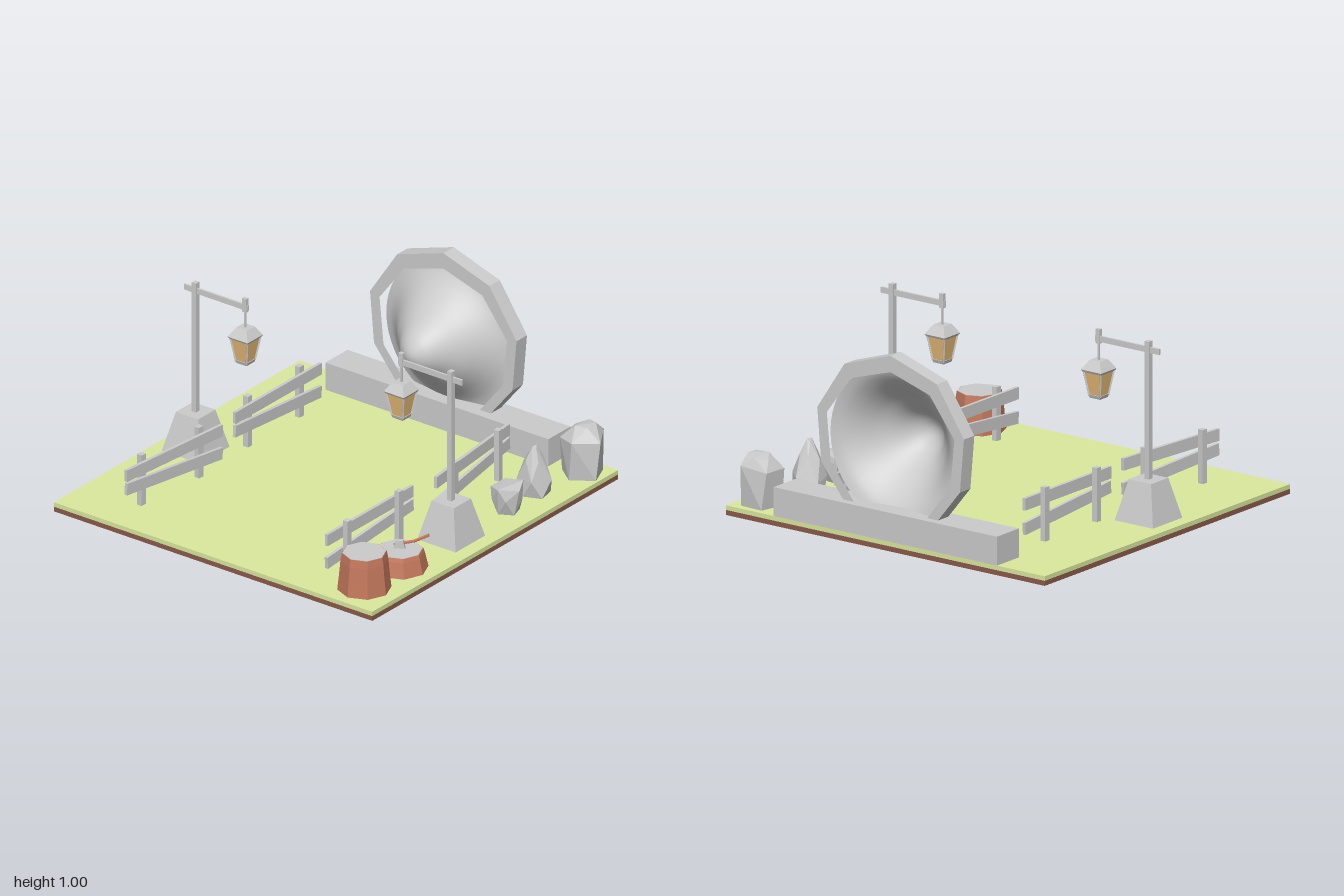
import * as THREE from 'three';
import { ConvexGeometry } from 'three/addons/geometries/ConvexGeometry.js';

const mat = (color, extra = {}) => new THREE.MeshStandardMaterial({ color, flatShading: true, ...extra });
const grey = mat(0xcccccc);
const grass = mat(0xdbe99e);
const soil = mat(0x8a5a4a);
const bark = mat(0xc4785c);
const glass = mat(0xe8bc78);
const smoothGrey = new THREE.MeshStandardMaterial({ color: 0xcccccc, side: THREE.DoubleSide });

function add(parent, name, geometry, material, x = 0, y = 0, z = 0) {
  const mesh = new THREE.Mesh(geometry, material);
  mesh.name = name;
  mesh.position.set(x, y, z);
  parent.add(mesh);
  return mesh;
}

function subgroup(parent, name, x = 0, y = 0, z = 0) {
  const g = new THREE.Group();
  g.name = name;
  g.position.set(x, y, z);
  parent.add(g);
  return g;
}

const box = (w, h, d) => new THREE.BoxGeometry(w, h, d);

// Square frustum given by half widths, standing on its origin
function frustum(top, bottom, height) {
  return new THREE.CylinderGeometry(top * Math.SQRT2, bottom * Math.SQRT2, height, 4)
    .rotateY(Math.PI / 4).translate(0, height / 2, 0);
}

// Straight bar between two points
function bar(parent, name, a, b, radius, sides, material) {
  const from = new THREE.Vector3(...a), to = new THREE.Vector3(...b);
  const dir = to.clone().sub(from);
  const mesh = add(parent, name, new THREE.CylinderGeometry(radius, radius, dir.length(), sides), material);
  mesh.position.copy(from).add(to).multiplyScalar(0.5);
  mesh.quaternion.setFromUnitVectors(new THREE.Vector3(0, 1, 0), dir.normalize());
  return mesh;
}

// Many-sided frame with a bulging membrane, standing in a stone plinth
function portal(parent) {
  const g = subgroup(parent, 'portal');
  add(g, 'plinth', box(1.4, 0.15, 0.18), grey, 0, 0.125, -0.91);
  const loop = half => [...half, ...half.slice(1).reverse().map(([x, y]) => [-x, y])]
    .map(([x, y]) => new THREE.Vector2(x, y));
  const shape = new THREE.Shape(loop([[0, 1], [0.29, 0.905], [0.46, 0.65], [0.435, 0.37], [0.265, 0.16], [0.1, 0.08]]));
  shape.holes.push(new THREE.Path(loop([[0, 0.915], [0.245, 0.84], [0.4, 0.635], [0.375, 0.38], [0.23, 0.2], [0.09, 0.15]])));
  add(g, 'portalFrame', new THREE.ExtrudeGeometry(shape, { depth: 0.085, bevelEnabled: false }), grey, 0, 0, -0.957);

  const curve = new THREE.SplineCurve([[0, 0.36], [0.035, 0.353], [0.09, 0.318], [0.155, 0.243], [0.21, 0.187],
    [0.255, 0.135], [0.3, 0.088], [0.35, 0.05], [0.4, 0.03]].map(p => new THREE.Vector2(...p)));
  const profile = curve.getPoints(28).reverse();
  profile[profile.length - 1].x = 0;
  const bell = new THREE.LatheGeometry(profile, 48).rotateX(Math.PI / 2);
  add(g, 'membrane', bell, smoothGrey, 0, 0.53, -0.957);
}

// Post with a cross arm towards +x and a hanging lantern
function lampPost(parent, name, x, z, side) {
  const g = subgroup(parent, name, x, 0, z);
  add(g, 'footing', frustum(0.07, 0.12, 0.21), grey, 0, 0.05, 0);
  add(g, 'post', box(0.027, 0.75, 0.03), grey, 0, 0.6, 0);
  add(g, 'crossArm', box(0.4, 0.03, 0.012), grey, side * 0.13, 0.93, 0);
  const lamp = subgroup(g, 'lantern', side * 0.312);
  add(lamp, 'armPeg', box(0.025, 0.075, 0.02), grey, 0, 0.943, 0);
  add(lamp, 'hanger', box(0.009, 0.1, 0.009), grey, 0, 0.86, 0);
  add(lamp, 'roof', frustum(0.033, 0.063, 0.048), grey, 0, 0.772, 0);
  add(lamp, 'roofRim', frustum(0.063, 0.057, 0.012), grey, 0, 0.76, 0);
  add(lamp, 'glass', frustum(0.052, 0.033, 0.125), glass, 0, 0.638, 0);
  add(lamp, 'base', frustum(0.038, 0.032, 0.018), grey, 0, 0.624, 0);
  for (const sx of [-1, 1]) for (const sz of [-1, 1]) {
    bar(lamp, 'lanternEdge', [sx * 0.034, 0.636, sz * 0.034], [sx * 0.054, 0.765, sz * 0.054], 0.006, 4, grey);
  }
}

// Fence panel along z with its posts on the -x side
function fence(parent, name, x, z, turn) {
  const g = subgroup(parent, name, x, 0, z);
  g.rotation.y = turn;
  add(g, 'upperRail', box(0.018, 0.063, 0.7), grey, 0, 0.266, 0);
  add(g, 'lowerRail', box(0.018, 0.063, 0.7), grey, 0, 0.165, 0).rotation.x = -0.075;
  for (const pz of [-0.21, 0.21]) add(g, 'fencePost', box(0.03, 0.28, 0.034), grey, -0.024, 0.19, pz);
}

// Eight-sided stump: flared bark wall and a pale cut face
function stump(parent, name, x, z, height, bottom, top) {
  const g = subgroup(parent, name, x, 0.05, z);
  const profile = [[bottom, 0], [bottom * 0.62 + top * 0.38, height * 0.4], [top * 1.06, height * 0.8],
    [top, height], [top - 0.012, height], [0, height]].map(p => new THREE.Vector2(...p));
  add(g, 'bark', new THREE.LatheGeometry(profile, 8), bark);
  add(g, 'cutFace', new THREE.CylinderGeometry(top - 0.003, top - 0.003, 0.004, 8), grey, 0, height, 0);
  return g;
}

// Axe resting in the low stump
function axe(parent) {
  const g = subgroup(parent, 'axe');
  bar(g, 'axeHandle', [0.77, 0.167, 0.525], [0.86, 0.195, 0.475], 0.008, 6, bark);
  bar(g, 'axeHandleEnd', [0.86, 0.195, 0.475], [0.922, 0.232, 0.437], 0.008, 6, bark);
  const blade = new THREE.Shape([[-0.018, 0.02], [0.018, 0.02], [0.032, -0.035], [-0.032, -0.035]]
    .map(p => new THREE.Vector2(...p)));
  const geo = new THREE.ExtrudeGeometry(blade, { depth: 0.022, bevelEnabled: false }).translate(0, 0, -0.011);
  add(g, 'axeHead', geo, grey, 0.795, 0.175, 0.512).rotation.y = 0.5;
}

// Faceted boulder: hull around rings of [height, radius, twist, offsetX, offsetZ]
function boulder(parent, name, x, z, sides, rings) {
  const points = [];
  for (const [y, r, twist, ox = 0, oz = 0] of rings) {
    for (let i = 0; i < sides; i++) {
      const a = twist + i * Math.PI * 2 / sides;
      const wobble = 1 + 0.07 * Math.sin(i * 2.3 + twist * 3);
      const lift = y > 0.06 ? 0.015 * Math.sin(i * 1.9 + twist) : 0;
      points.push(new THREE.Vector3(ox + r * wobble * Math.cos(a), y + lift, oz + r * wobble * Math.sin(a)));
    }
  }
  add(parent, name, new ConvexGeometry(points), grey, x, 0, z);
}

export function createModel() {
  const root = new THREE.Group();
  root.name = 'portalClearing';

  add(root, 'soil', box(2, 0.026, 2), soil, 0, 0.013, 0);
  add(root, 'grass', box(2, 0.024, 2), grass, 0, 0.038, 0);
  portal(root);

  lampPost(root, 'rightLampPost', -0.808, 0.095, 1);
  lampPost(root, 'leftLampPost', 0.803, 0.103, -1);

  fence(root, 'rightBackFence', -0.6, -0.3, 0);
  fence(root, 'rightFrontFence', -0.6, 0.543, -0.09);
  fence(root, 'leftBackFence', 0.593, -0.338, Math.PI + 0.11);
  fence(root, 'leftFrontFence', 0.595, 0.5, Math.PI);

  stump(root, 'tallStump', 0.805, 0.812, 0.2, 0.136, 0.113);
  stump(root, 'lowStump', 0.805, 0.52, 0.1, 0.142, 0.116);
  axe(root);

  boulder(root, 'largeBoulder', 0.875, -0.87, 5, [[0.05, 0.112, 0.3], [0.25, 0.122, 0.1], [0.308, 0.06, 0.7, 0, -0.02]]);
  boulder(root, 'tallBoulder', 0.82, -0.555, 5, [[0.05, 0.085, 0.5], [0.13, 0.096, 1.1], [0.235, 0.055, 0.5, 0, 0.01],
    [0.305, 0.016, 0.2, 0.01, 0.02]]);
  boulder(root, 'smallBoulder', 0.835, -0.31, 5, [[0.05, 0.068, 0.4], [0.12, 0.085, 1.0], [0.185, 0.09, 0.2]]);
  return root;
}
